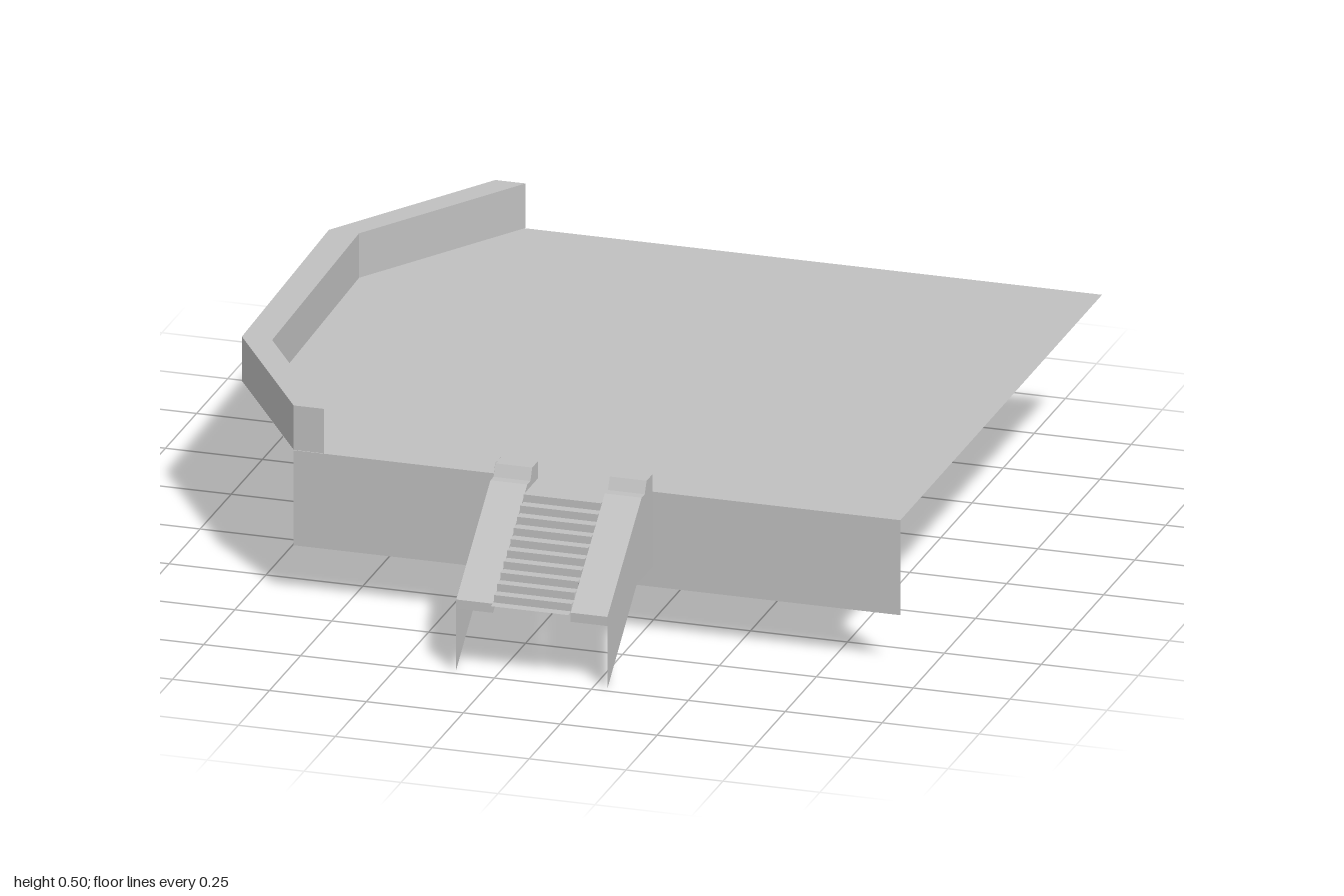
import * as THREE from 'three';

const stone = new THREE.MeshStandardMaterial({ color: 0xc0c0c0 });
stone.name = 'grey stone';
const sheet = new THREE.MeshStandardMaterial({ color: 0xc0c0c0, side: THREE.DoubleSide });
sheet.name = 'grey stone sheet';

const DECK_Y = 0.385, FRONT_Z = 0.62, BACK_Z = -1, RIGHT_X = 0.925;
const shapeOf = (pts) => new THREE.Shape(pts.map(([a, b]) => new THREE.Vector2(a, b)));

function add(group, name, geometry, material) {
  const mesh = new THREE.Mesh(geometry, material);
  mesh.name = name;
  group.add(mesh);
  return mesh;
}

// Plan outline given as [x, z], raised from y by height
function planGeometry(pts, y, height = 0) {
  const shape = shapeOf(pts.map(([x, z]) => [x, -z]));
  const geo = height
    ? new THREE.ExtrudeGeometry(shape, { depth: height, bevelEnabled: false })
    : new THREE.ShapeGeometry(shape);
  return geo.rotateX(-Math.PI / 2).translate(0, y, 0);
}

// Side profile given as [z, y], spanning x0 to x1
function sideGeometry(pts, x0, x1) {
  const shape = shapeOf(pts);
  const geo = x1 > x0
    ? new THREE.ExtrudeGeometry(shape, { depth: x1 - x0, bevelEnabled: false })
    : new THREE.ShapeGeometry(shape);
  return geo.rotateY(-Math.PI / 2).translate(x1, 0, 0);
}

// Open ribbon: a [z, y] polyline swept across x0 to x1
function ribbonGeometry(pts, x0, x1) {
  const pos = [];
  for (let i = 0; i + 1 < pts.length; i++) {
    const [za, ya] = pts[i], [zb, yb] = pts[i + 1];
    pos.push(x0, ya, za, x0, yb, zb, x1, yb, zb, x0, ya, za, x1, yb, zb, x1, ya, za);
  }
  const geo = new THREE.BufferGeometry();
  geo.setAttribute('position', new THREE.Float32BufferAttribute(pos, 3));
  geo.computeVertexNormals();
  return geo;
}

export function createModel() {
  const model = new THREE.Group();
  model.name = 'terrace';

  // Terrace floor, angled on its left-hand edge
  const edge = [[-0.64, BACK_Z], [-0.925, -0.55], [-0.905, 0.21], [-0.64, FRONT_Z]];
  add(model, 'floor', planGeometry([...edge, [RIGHT_X, FRONT_Z], [RIGHT_X, BACK_Z]], DECK_Y), sheet);

  // Thin retaining face below the front edge
  add(model, 'frontFace', ribbonGeometry([[FRONT_Z, DECK_Y], [FRONT_Z, 0.135]], -0.64, RIGHT_X), sheet);

  // Parapet following the angled edge
  const inner = edge.map(([x, z]) => [x + 0.078, z]).reverse();
  add(model, 'parapet', planGeometry([...edge, ...inner], DECK_Y + 0.001, 0.117), stone);

  // Staircase: landing followed by equal steps
  const stairs = new THREE.Group();
  stairs.name = 'staircase';
  model.add(stairs);
  const steps = 10, run = 0.0265, rise = 0.0197;
  const line = [[FRONT_Z, DECK_Y], [0.735, DECK_Y]];
  for (let i = 0; i < steps; i++) {
    const z = 0.735 + i * run, y = DECK_Y - (i + 1) * rise;
    line.push([z, y], [z + run, y]);
  }
  add(stairs, 'steps', ribbonGeometry(line, -0.01, 0.19), sheet);

  // Sloping balustrades with raised heads, and thin outer skirts
  const top = [[0.98, 0.187], [0.705, 0.4], [0.68, 0.4], [0.665, 0.43], [FRONT_Z, 0.43]];
  const rail = [...top, [FRONT_Z, 0.365], [0.71, 0.365], [0.98, 0.163]];
  const skirt = [...top, [FRONT_Z, 0.187], [0.73, 0.187], [0.73, 0.2], [0.98, 0]];
  for (const [x0, x1, outer] of [[-0.105, -0.01, -0.1055], [0.19, 0.285, 0.2855]]) {
    add(stairs, 'balustrade', sideGeometry(rail, x0, x1), stone);
    add(stairs, 'skirt', sideGeometry(skirt, outer, outer), sheet);
  }
  return model;
}
